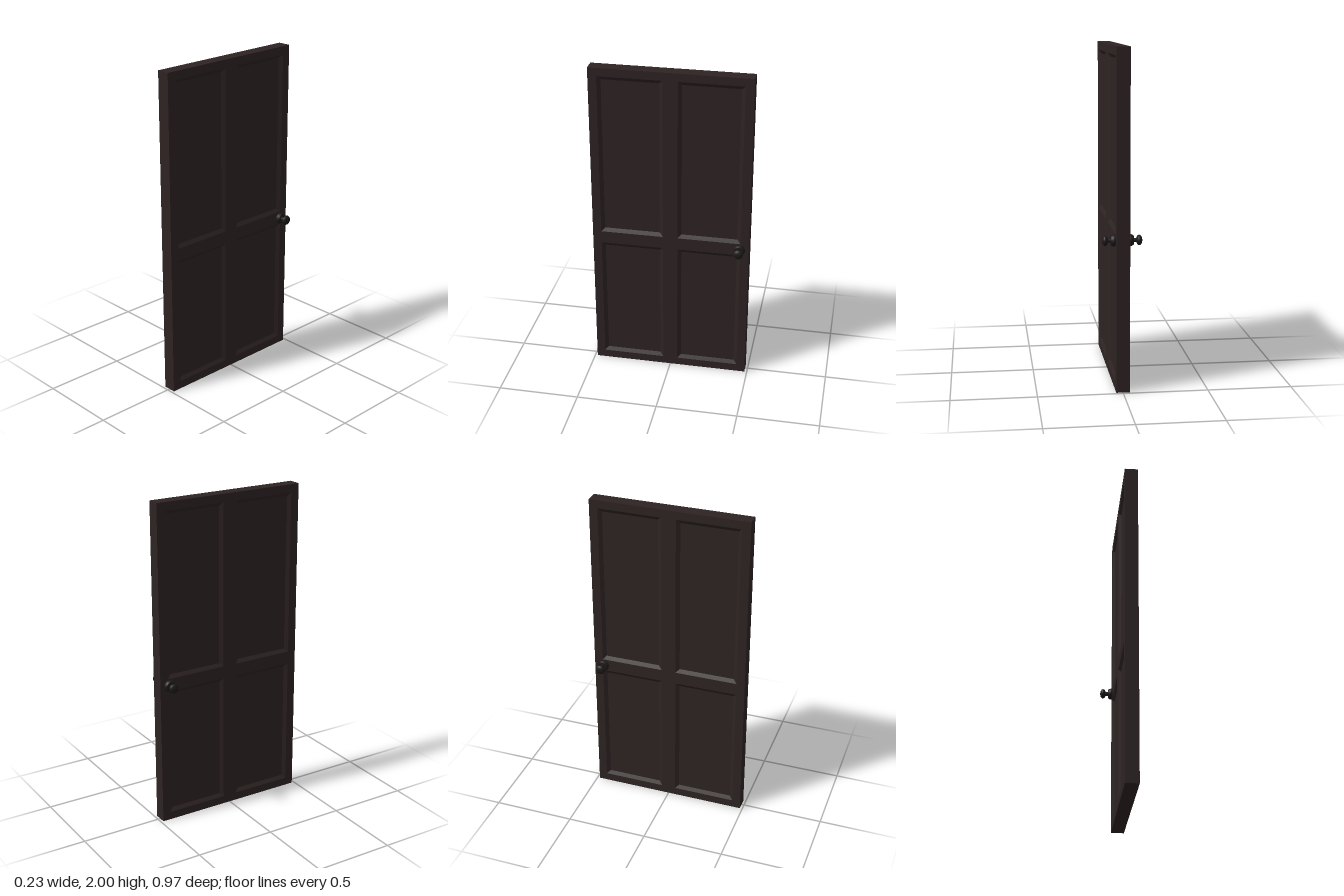
import * as THREE from 'three';

const H = 2, HALF_W = 0.484, HALF_T = 0.04;
const BEVEL = 0.022, DEPTH = 0.015;
// Panel openings as [uMin, uMax, yMin, yMax]
const OPENINGS = [];
for (const [y0, y1] of [[0.05, 0.857], [0.935, 1.95]]) {
  OPENINGS.push([-0.432, -0.045, y0, y1], [0.045, 0.432, y0, y1]);
}

const wood = new THREE.MeshStandardMaterial({ color: 0x2e2323 });
wood.name = 'dark brown wood';
const metal = new THREE.MeshStandardMaterial({ color: 0x1d1919 });
metal.name = 'black metal';

function addMesh(parent, geometry, material, name) {
  const mesh = new THREE.Mesh(geometry, material);
  mesh.name = name;
  parent.add(mesh);
  return mesh;
}

function rectPoints([u0, u1, y0, y1]) {
  return [[u0, y0], [u1, y0], [u1, y1], [u0, y1]].map(([x, y]) => new THREE.Vector2(x, y));
}

// Stiles and rails: one board with four openings
function frameGeometry() {
  const shape = new THREE.Shape(rectPoints([-HALF_W, HALF_W, 0, H]));
  for (const o of OPENINGS) shape.holes.push(new THREE.Path(rectPoints(o)));
  const geometry = new THREE.ExtrudeGeometry(shape, { depth: HALF_T * 2, bevelEnabled: false });
  return geometry.translate(0, 0, -HALF_T).rotateY(Math.PI / 2);
}

// Sunk panel: four sloping mouldings around a flat field, facing +z
function panelGeometry([u0, u1, y0, y1]) {
  const outer = rectPoints([u0, u1, y0, y1]).map(p => [p.x, p.y, HALF_T]);
  const inner = rectPoints([u0 + BEVEL, u1 - BEVEL, y0 + BEVEL, y1 - BEVEL])
    .map(p => [p.x, p.y, HALF_T - DEPTH]);
  const positions = [];
  const quad = (a, b, c, d) => positions.push(...a, ...b, ...c, ...a, ...c, ...d);
  for (let i = 0; i < 4; i++) {
    const j = (i + 1) % 4;
    quad(outer[i], outer[j], inner[j], inner[i]);
  }
  quad(...inner);
  const geometry = new THREE.BufferGeometry();
  geometry.setAttribute('position', new THREE.Float32BufferAttribute(positions, 3));
  geometry.computeVertexNormals();
  return geometry;
}

function lathe(points) {
  return new THREE.LatheGeometry(points.map(([r, y]) => new THREE.Vector2(r, y)), 24);
}

// Rose plate, neck and flattened ball, pointing along +y from the door face
function createHandle() {
  const handle = new THREE.Group();
  handle.name = 'doorHandle';
  addMesh(handle, lathe([[0.033, 0], [0.035, 0.006], [0.035, 0.011], [0.032, 0.018],
    [0.028, 0.024], [0.028, 0.026], [0, 0.026]]), metal, 'rosePlate');
  addMesh(handle, lathe([[0.013, 0.024], [0.012, 0.035], [0.013, 0.05]]), metal, 'handleNeck');
  const ball = addMesh(handle, new THREE.SphereGeometry(0.03, 24, 16), metal, 'knob');
  ball.scale.y = 0.6;
  ball.position.y = 0.059;
  return handle;
}

export function createModel() {
  const door = new THREE.Group();
  door.name = 'door';
  addMesh(door, frameGeometry(), wood, 'doorFrame');
  // Both faces carry panels and a handle
  for (const side of [1, -1]) {
    for (const o of OPENINGS) {
      addMesh(door, panelGeometry(o).rotateY(side * Math.PI / 2), wood, 'sunkPanel');
    }
    const handle = createHandle();
    handle.rotation.z = -side * Math.PI / 2;
    handle.position.set(side * HALF_T, 0.895, -0.426);
    door.add(handle);
  }
  return door;
}
